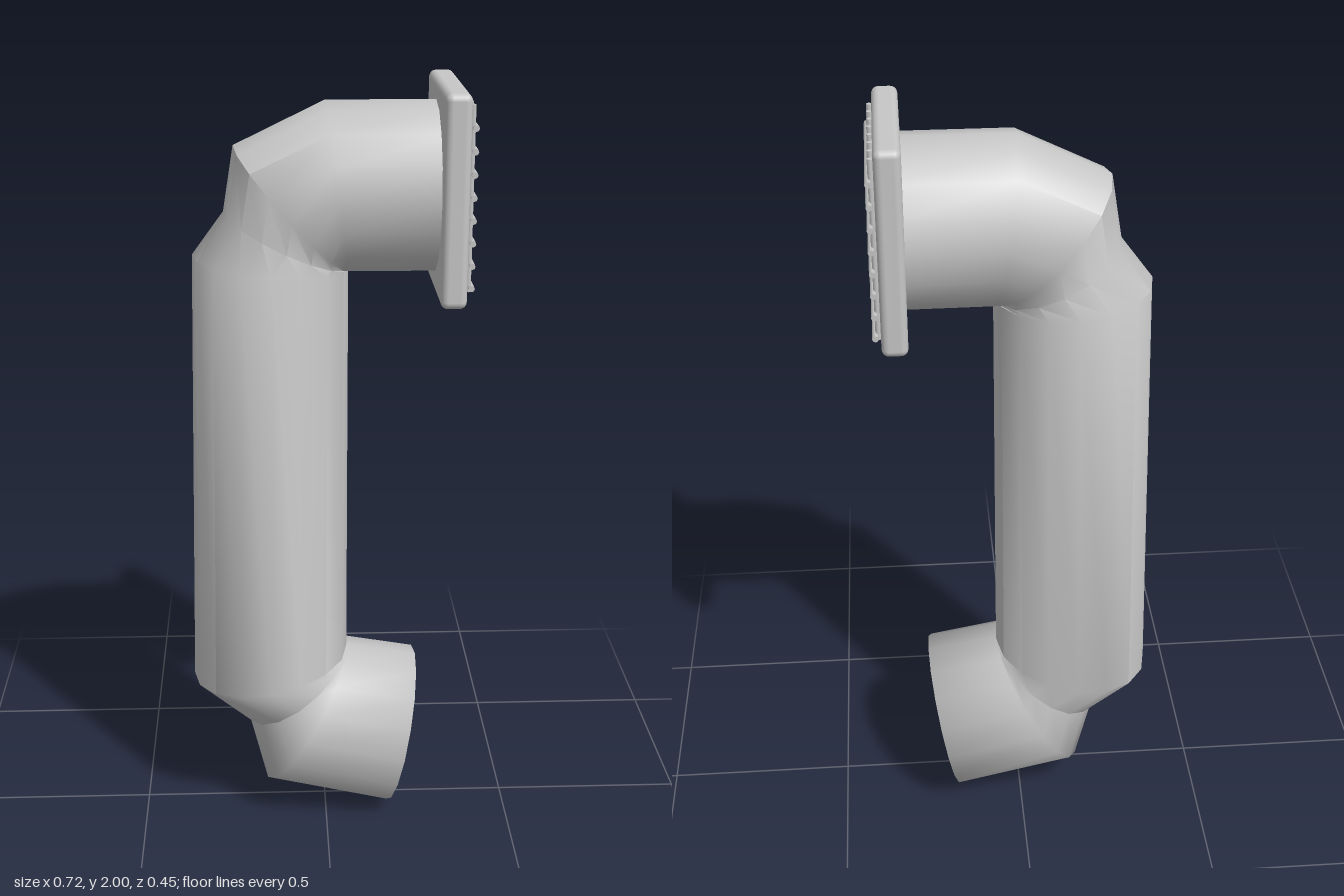
import * as THREE from 'three';
import { toCreasedNormals } from 'three/addons/utils/BufferGeometryUtils.js';
import { RoundedBoxGeometry } from 'three/addons/geometries/RoundedBoxGeometry.js';

const SIDES = 16;
const Z0 = -0.01;

// Cross-sections: outer point (x, y), inner point (x, y), half width in z
const PINCH = [-0.215, 0.265, 0.06, 0.463, 0.2];
const LOWER = [
  [0.167, 0.0, 0.251, 0.432, 0.215],
  [-0.17, 0.08, 0.06, 0.465, 0.215],
  PINCH,
];
const UPPER = [
  PINCH,
  [-0.36, 0.385, 0.06, 0.46, 0.212],
  [-0.336, 1.57, 0.06, 1.54, 0.205],
  [-0.255, 1.68, 0.058, 1.535, 0.182],
  [-0.228, 1.845, 0.055, 1.53, 0.198],
  [0.0, 1.955, 0.058, 1.526, 0.2],
  [0.3, 1.955, 0.3, 1.525, 0.2],
];

// Tube skin lofted through the rings, with an optional disc on the first ring
function loft(rings, crease, capped) {
  const pos = [];
  const idx = [];
  for (const [ax, ay, bx, by, w] of rings) {
    for (let j = 0; j < SIDES; j++) {
      const t = (j / SIDES) * Math.PI * 2;
      const c = Math.cos(t) / 2;
      pos.push(
        (ax + bx) / 2 + (ax - bx) * c,
        (ay + by) / 2 + (ay - by) * c,
        Z0 + w * Math.sin(t)
      );
    }
  }
  for (let i = 0; i < rings.length - 1; i++) {
    for (let j = 0; j < SIDES; j++) {
      const a = i * SIDES + j;
      const b = i * SIDES + ((j + 1) % SIDES);
      idx.push(a, b, a + SIDES, b, b + SIDES, a + SIDES);
    }
  }
  if (capped) {
    const [ax, ay, bx, by] = rings[0];
    const centre = pos.length / 3;
    pos.push((ax + bx) / 2, (ay + by) / 2, Z0);
    for (let j = 0; j < SIDES; j++) idx.push(centre, (j + 1) % SIDES, j);
  }
  const g = new THREE.BufferGeometry();
  g.setAttribute('position', new THREE.Float32BufferAttribute(pos, 3));
  g.setIndex(idx);
  return toCreasedNormals(g, crease);
}

export function createModel() {
  const model = new THREE.Group();
  model.name = 'ventDuct';
  const grey = new THREE.MeshStandardMaterial({ color: 0xc6c6c6 });
  grey.name = 'light grey';

  const add = (parent, name, geometry, x = 0, y = 0, z = 0) => {
    const mesh = new THREE.Mesh(geometry, grey);
    mesh.name = name;
    mesh.position.set(x, y, z);
    parent.add(mesh);
  };

  // Softly shaded closed lower end, then the upright duct and its upper bend
  add(model, 'lowerElbow', loft(LOWER, 1.65, true));
  add(model, 'uprightDuct', loft(UPPER, 0.7, false));

  // Square plate on the upper end
  add(model, 'ventPlate', new RoundedBoxGeometry(0.064, 0.52, 0.442, 3, 0.018), 0.307, 1.74, 0);

  // Grille of crossed bars
  const grille = new THREE.Group();
  grille.name = 'grille';
  model.add(grille);
  const upright = new THREE.CylinderGeometry(0.007, 0.007, 0.455, 8);
  const crossbar = new THREE.CylinderGeometry(0.008, 0.008, 0.39, 8).rotateX(Math.PI / 2);
  for (let i = 0; i < 8; i++) {
    add(grille, 'uprightBar', upright, 0.345, 1.742, -0.18 + i * 0.05);
    add(grille, 'crossBar', crossbar, 0.352, 1.525 + i * 0.0557, -0.008);
  }
  return model;
}
